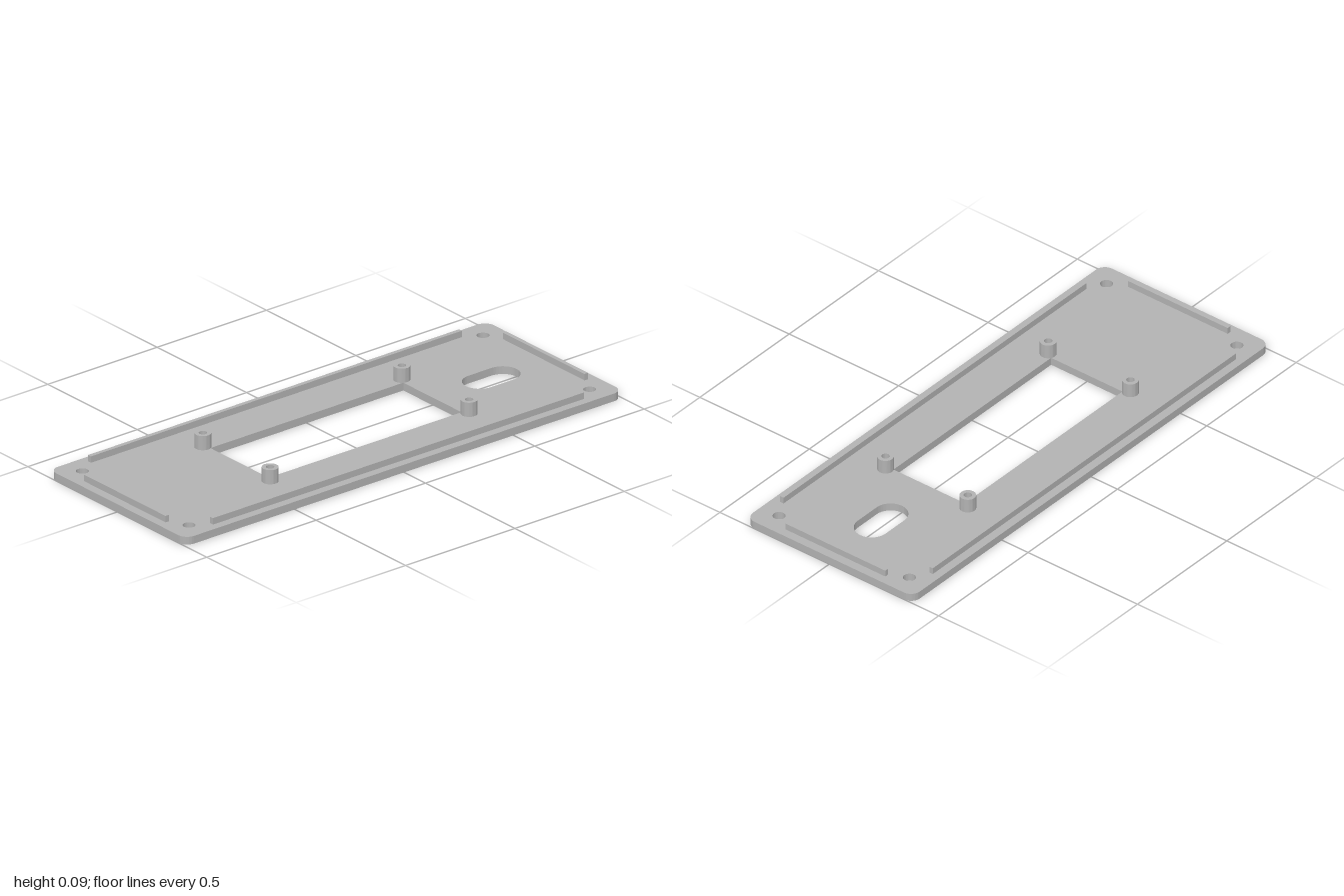
import * as THREE from 'three';
import { toCreasedNormals } from 'three/addons/utils/BufferGeometryUtils.js';

const PLATE_TOP = 0.03, RIB_TOP = 0.055, BOSS_TOP = 0.085;

const grey = new THREE.MeshStandardMaterial({ color: 0xb2b2b2 });
grey.name = 'grey';

// Rounded rectangle or slot outline centred on (cx, cy)
function rounded(path, cx, cy, hw, hh, r) {
  path.absarc(cx + hw - r, cy - hh + r, r, -Math.PI / 2, 0);
  path.absarc(cx + hw - r, cy + hh - r, r, 0, Math.PI / 2);
  path.absarc(cx - hw + r, cy + hh - r, r, Math.PI / 2, Math.PI);
  path.absarc(cx - hw + r, cy - hh + r, r, Math.PI, Math.PI * 1.5);
  path.closePath();
  return path;
}

// Extrude a shape upward from y0 to y1
function slab(shape, y0, y1) {
  const geo = new THREE.ExtrudeGeometry(shape, { depth: y1 - y0, bevelEnabled: false, curveSegments: 16 });
  geo.rotateX(-Math.PI / 2).translate(0, y0, 0);
  return toCreasedNormals(geo, 0.5);
}

export function createModel() {
  const model = new THREE.Group();
  model.name = 'mountingPanel';

  const add = (name, geo, x = 0, y = 0, z = 0) => {
    const mesh = new THREE.Mesh(geo, grey);
    mesh.name = name;
    mesh.position.set(x, y, z);
    model.add(mesh);
  };

  // Base plate with window, slot and four screw holes
  const outline = rounded(new THREE.Shape(), 0, 0, 1, 0.381, 0.04);
  const hx = 0.441, hz = 0.163;
  outline.holes.push(new THREE.Path([
    new THREE.Vector2(-hx, -hz), new THREE.Vector2(-hx, hz),
    new THREE.Vector2(hx, hz), new THREE.Vector2(hx, -hz),
  ]));
  outline.holes.push(rounded(new THREE.Path(), 0.71, 0, 0.116, 0.063, 0.063));
  for (const sx of [-1, 1]) for (const sz of [-1, 1]) {
    outline.holes.push(new THREE.Path().absarc(sx * 0.916, sz * 0.298, 0.023, 0, Math.PI * 2));
  }
  add('basePlate', slab(outline, 0, PLATE_TOP));

  // Locating ribs along the four edges
  const ribH = RIB_TOP - PLATE_TOP, ribY = PLATE_TOP + ribH / 2;
  for (const s of [-1, 1]) {
    add('longRib', new THREE.BoxGeometry(1.696, ribH, 0.016), 0, ribY, s * 0.341);
    add('shortRib', new THREE.BoxGeometry(0.016, ribH, 0.456), s * 0.958, ribY, 0);
  }

  // Hollow standoffs at the window corners, with closed floors
  const ring = new THREE.Shape().absarc(0, 0, 0.03, 0, Math.PI * 2);
  ring.holes.push(new THREE.Path().absarc(0, 0, 0.015, 0, Math.PI * 2));
  const standoff = slab(ring, PLATE_TOP, BOSS_TOP);
  for (const sx of [-1, 1]) for (const sz of [-1, 1]) {
    add('standoff', standoff, sx * 0.455, 0, sz * 0.188);
  }
  return model;
}
